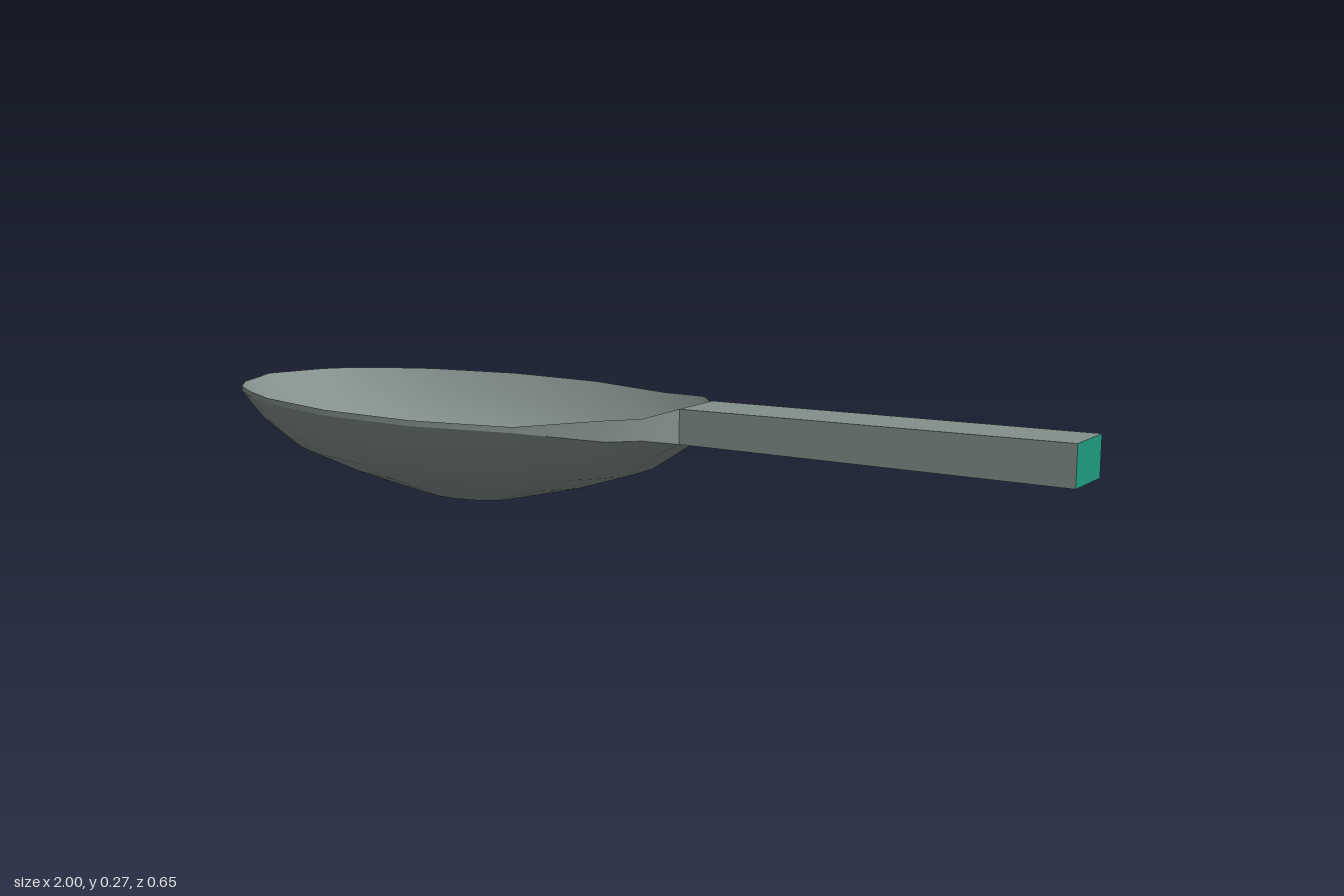
import * as THREE from 'three';

const CENTER_X = -0.405;

// Half of the bowl outline: x, z, top of rim, bottom of rim
const half = [
  [-1, 0, 0.227, 0.215], [-0.95, 0.128, 0.227, 0.215], [-0.905, 0.183, 0.227, 0.215],
  [-0.83, 0.23, 0.227, 0.215], [-0.73, 0.278, 0.227, 0.215], [-0.52, 0.325, 0.227, 0.215],
  [-0.29, 0.325, 0.227, 0.215], [-0.07, 0.273, 0.227, 0.215], [0.09, 0.185, 0.243, 0.2],
  [0.14, 0.129, 0.243, 0.199], [0.185, 0.063, 0.258, 0.187],
];
const outline = [...half, ...half.slice(1).reverse().map(([x, z, t, b]) => [x, -z, t, b])];

// Shrunken copies of the outline: scale, height
const dish = [[0.9, 0.155], [0.77, 0.104], [0.55, 0.062], [0.21, 0.01], [0, 0.003]];

const rimRing = (k) => outline.map((p) => [p[0], p[k], p[1]]);
const dishRings = (lift) => dish.map(([s, y]) =>
  outline.map(([x, z]) => [CENTER_X + (x - CENTER_X) * s, y + lift, z * s]));

// Skin a stack of closed rings; inward flips the faces
function skin(rings, inward = false) {
  const n = outline.length;
  const index = [];
  for (let i = 0; i < rings.length - 1; i++) {
    for (let j = 0; j < n; j++) {
      const a = i * n + j, b = i * n + (j + 1) % n, c = a + n, d = b + n;
      if (inward) index.push(a, b, c, b, d, c);
      else index.push(a, c, b, b, c, d);
    }
  }
  const g = new THREE.BufferGeometry();
  g.setAttribute('position', new THREE.Float32BufferAttribute(rings.flat(2), 3));
  g.setIndex(index);
  g.computeVertexNormals();
  return g;
}

export function createModel() {
  const metal = new THREE.MeshStandardMaterial({ color: 0x83908c });
  metal.name = 'greyMetal';
  const teal = new THREE.MeshStandardMaterial({ color: 0x1f9a80 });
  teal.name = 'tealEnd';

  const model = new THREE.Group();
  model.name = 'spoon';
  const add = (name, geometry, material) => {
    const mesh = new THREE.Mesh(geometry, material);
    mesh.name = name;
    model.add(mesh);
  };

  // Bowl: underside, thin rim wall and hollow
  add('bowlUnderside', skin([rimRing(3), ...dishRings(0)]), metal);
  add('bowlRim', skin([rimRing(2), rimRing(3)]), metal);
  add('bowlHollow', skin([rimRing(2), ...dishRings(0.015)], true), metal);

  // Handle: slightly tapered bar with a teal end face
  const bar = new THREE.BoxGeometry(1, 1, 1);
  const p = bar.attributes.position;
  for (let i = 0; i < p.count; i++) {
    const end = p.getX(i) > 0, top = p.getY(i) > 0;
    const y = top ? (end ? 0.272 : 0.258) : (end ? 0.191 : 0.187);
    p.setXYZ(i, end ? 1 : 0.185, y, Math.sign(p.getZ(i)) * (end ? 0.06 : 0.063));
  }
  bar.computeVertexNormals();
  add('handle', bar, [teal, metal, metal, metal, metal, metal]);

  return model;
}
